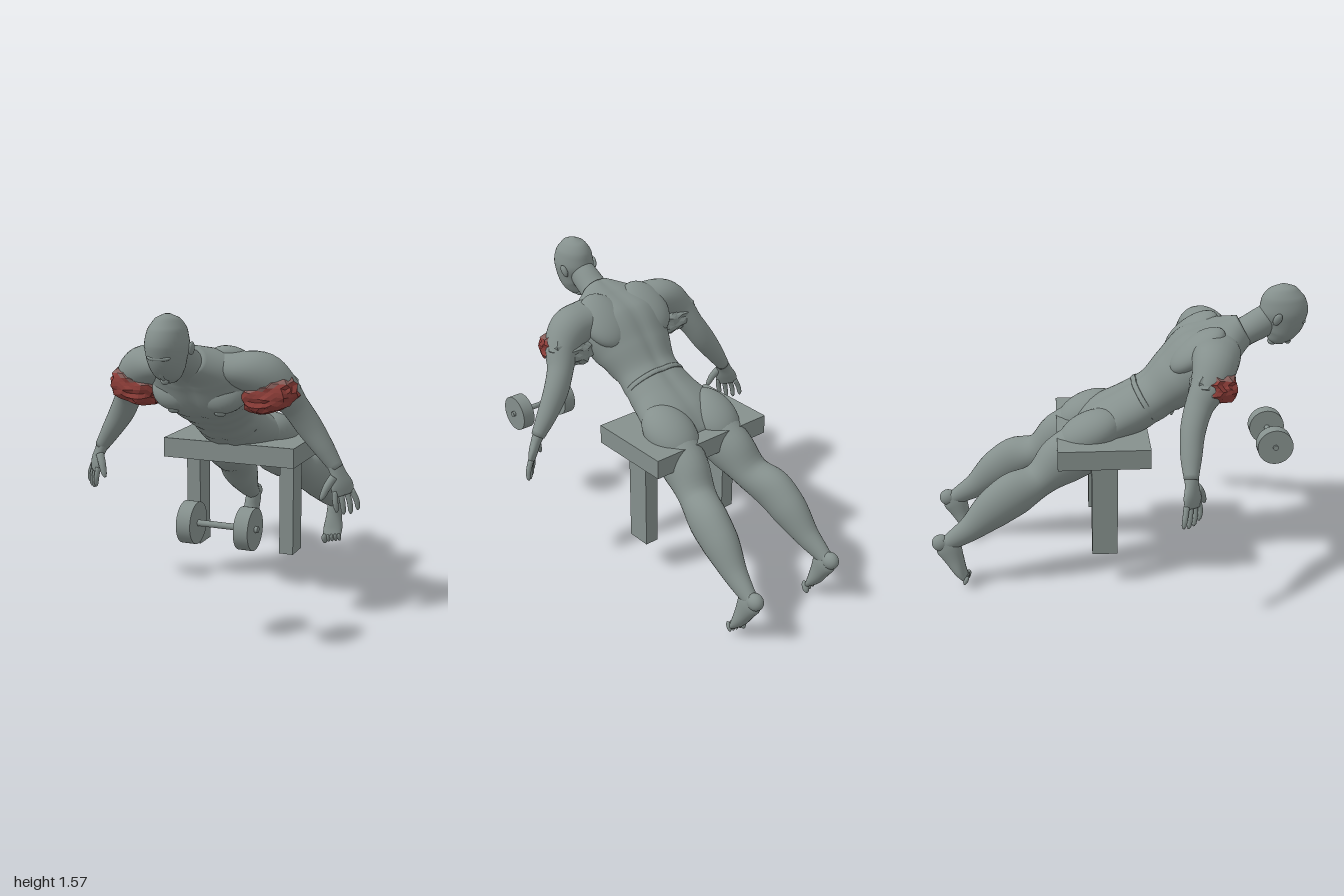
import * as THREE from 'three';

const mat = (name, color) => Object.assign(new THREE.MeshStandardMaterial({ color }), { name });
const V = (x, y, z) => new THREE.Vector3(x, y, z);

export function createModel() {
  const root = new THREE.Group();
  const grey = mat('stoneGrey', 0x85908d);
  const red = mat('muscleRed', 0x8c3d38);
  const blend = mat('fadedRed', 0x87605c);

  const add = (name, geo, material = grey) => {
    const m = new THREE.Mesh(geo, material);
    m.name = name;
    root.add(m);
    return m;
  };
  const box = (name, w, h, d, x, y, z) => add(name, new THREE.BoxGeometry(w, h, d)).position.set(x, y, z);
  const blob = (name, p, r, rx = 0, rz = 0) => {
    const m = add(name, new THREE.SphereGeometry(1, 32, 20));
    m.position.set(...p);
    m.scale.set(...r);
    m.rotation.set(rx, 0, rz);
  };

  // Smooth closed tube through sections [x, y, z, halfWidth, halfDepth]; side = width direction
  function loft(secs, side = V(1, 0, 0), shape = () => 1, n = 28, per = 5) {
    const path = new THREE.CatmullRomCurve3(secs.map(s => V(s[0], s[1], s[2])));
    const size = new THREE.CatmullRomCurve3(secs.map(s => V(s[3], s[4], 0)));
    const rings = (secs.length - 1) * per, pos = [], idx = [];
    for (let i = 0; i <= rings; i++) {
      const t = i / rings, c = path.getPoint(t), r = size.getPoint(t), T = path.getTangent(t);
      const S = side.clone().addScaledVector(T, -side.dot(T)).normalize();
      const D = T.clone().cross(S);
      for (let j = 0; j < n; j++) {
        const a = j / n * Math.PI * 2, k = shape(a, t);
        const p = c.clone().addScaledVector(S, Math.cos(a) * r.x * k).addScaledVector(D, Math.sin(a) * r.y * k);
        pos.push(p.x, p.y, p.z);
        if (i < rings) {
          const A = i * n + j, B = i * n + (j + 1) % n;
          idx.push(A, B, A + n, B, B + n, A + n);
        }
      }
    }
    const e0 = pos.length / 3, last = rings * n;
    pos.push(...secs[0].slice(0, 3), ...secs[secs.length - 1].slice(0, 3));
    for (let j = 0; j < n; j++) {
      const k = (j + 1) % n;
      idx.push(e0, k, j, e0 + 1, last + j, last + k);
    }
    const g = new THREE.BufferGeometry();
    g.setAttribute('position', new THREE.Float32BufferAttribute(pos, 3));
    g.setIndex(idx);
    g.computeVertexNormals();
    return g;
  }

  // Bench
  box('benchTop', 0.74, 0.105, 0.48, 0, 0.767, -0.08);
  for (const s of [-1, 1]) box('benchLeg', 0.078, 0.53, 0.135, s * 0.272, 0.455, -0.077);

  // Dumbbell
  const rod = (name, r, x0, x1) => {
    const m = add(name, new THREE.CylinderGeometry(r, r, x1 - x0, 40));
    m.rotation.z = Math.PI / 2;
    m.position.set((x0 + x1) / 2, 0.605, 0.895);
  };
  rod('dumbbellWeight', 0.1, 0.09, 0.16);
  rod('dumbbellWeight', 0.1, 0.375, 0.445);
  rod('dumbbellBar', 0.015, 0.08, 0.46);

  // Torso with a groove along the spine and faint abdominal ridges in front
  const torsoShape = (a, t) => {
    const mid = Math.exp(-((Math.cos(a) / 0.16) ** 2));
    const ridge = Math.sin(a) > 0.3 && t > 0.3 && t < 0.6 ? 0.015 * Math.sin(t * 75) : 0;
    return 1 - 0.07 * mid + ridge;
  };
  add('torso', loft([
    [0, 1.335, 0.67, 0.09, 0.08], [0, 1.28, 0.57, 0.23, 0.12], [0, 1.19, 0.45, 0.275, 0.178],
    [0, 1.09, 0.33, 0.225, 0.158], [0, 0.99, 0.21, 0.18, 0.13], [0, 0.91, 0.08, 0.2, 0.13],
    [0, 0.84, -0.08, 0.24, 0.11], [0, 0.77, -0.18, 0.2, 0.08], [0, 0.73, -0.24, 0.12, 0.03],
  ], V(1, 0, 0), torsoShape, 64, 10));
  // Thin band round the waist
  add('waistband', loft([
    [0, 0.968, 0.172, 0.182, 0.13], [0, 0.96, 0.16, 0.186, 0.134], [0, 0.952, 0.148, 0.186, 0.13],
  ], V(1, 0, 0), torsoShape, 64, 4));

  // Neck and head, the head built from level sections, crown to chin
  add('neck', loft([[0, 1.27, 0.56, 0.15, 0.1], [0, 1.325, 0.68, 0.082, 0.075],
    [0, 1.37, 0.76, 0.074, 0.08], [0, 1.42, 0.84, 0.065, 0.075]]));
  add('head', loft([
    [0, 1.576, 0.865, 0.012, 0.015], [0, 1.555, 0.866, 0.055, 0.07], [0, 1.505, 0.867, 0.088, 0.112],
    [0, 1.435, 0.873, 0.1, 0.128], [0, 1.375, 0.873, 0.092, 0.112], [0, 1.32, 0.86, 0.078, 0.086],
    [0, 1.28, 0.848, 0.055, 0.055], [0, 1.258, 0.845, 0.03, 0.035],
  ], V(1, 0, 0), undefined, 36));
  blob('brow', [0, 1.385, 0.965], [0.06, 0.016, 0.026], 0.3);
  blob('nose', [0, 1.31, 0.93], [0.016, 0.05, 0.02], 0.55);
  blob('noseTip', [0, 1.268, 0.903], [0.02, 0.018, 0.018]);
  blob('lips', [0, 1.268, 0.872], [0.027, 0.012, 0.018]);
  blob('chin', [0, 1.268, 0.822], [0.03, 0.02, 0.025]);

  // Ragged shell round the upper arm, red in front and grey behind
  function armShell(s) {
    const g = new THREE.IcosahedronGeometry(1, 4), p = g.attributes.position;
    const sets = [[], [], []], M = new THREE.Matrix4().makeRotationZ(0.28);
    const ragged = v => {
      const h = Math.sin(Math.round(v.x * 50) * 12.99 + Math.round(v.y * 50) * 78.23 + Math.round(v.z * 50) * 37.72) * 43758.5;
      const boxy = Math.cbrt(Math.abs(v.x) ** 3 + Math.abs(v.y) ** 3 + Math.abs(v.z) ** 3);
      return (0.9 + 0.17 * (h - Math.floor(h))) / boxy;
    };
    for (let f = 0; f < p.count; f += 3) {
      const tri = [0, 1, 2].map(k => V(0, 0, 0).fromBufferAttribute(p, f + k));
      const c = tri[0].clone().add(tri[1]).add(tri[2]).divideScalar(3);
      const set = c.z < -0.2 || c.y > 0.7 ? 0 : c.y > 0.38 ? 2 : 1;
      const out = tri.map(v => {
        const k = ragged(v);
        return V(v.x * 0.138 * k, v.y * 0.083 * k, v.z * 0.118 * k).applyMatrix4(M).add(V(0.36, 1.158, 0.465));
      });
      if (s < 0) out.reverse();
      out.forEach(v => sets[set].push(v.x * s, v.y, v.z));
    }
    sets.forEach((arr, i) => {
      const q = new THREE.BufferGeometry();
      q.setAttribute('position', new THREE.Float32BufferAttribute(arr, 3));
      q.computeVertexNormals();
      add(['upperArmShell', 'redMuscle', 'fadedMuscle'][i], q, [grey, red, blend][i]);
    });
  }

  for (const s of [-1, 1]) {
    const mx = secs => secs.map(([x, ...r]) => [x * s, ...r]);

    // Ear, chest, back and buttock masses
    blob('ear', [s * 0.1, 1.415, 0.825], [0.014, 0.035, 0.022], 0.4, -s * 0.2);
    blob('pectoral', [s * 0.122, 1.17, 0.5], [0.135, 0.125, 0.088], -0.6);
    blob('nipple', [s * 0.125, 1.06, 0.55], [0.03, 0.016, 0.022], -0.5);
    blob('shoulderBlade', [s * 0.14, 1.27, 0.41], [0.13, 0.075, 0.17], -0.65);
    blob('buttock', [s * 0.143, 0.825, -0.145], [0.135, 0.112, 0.185], -0.45);

    // Arm
    add('arm', loft(mx([
      [0.06, 1.3, 0.52, 0.09, 0.07], [0.2, 1.275, 0.5, 0.125, 0.09], [0.32, 1.25, 0.475, 0.115, 0.11],
      [0.4, 1.18, 0.44, 0.095, 0.092], [0.455, 1.09, 0.385, 0.072, 0.068], [0.515, 0.99, 0.35, 0.064, 0.066],
      [0.59, 0.88, 0.335, 0.054, 0.052], [0.655, 0.785, 0.33, 0.036, 0.036],
    ]), V(0, 0, 1)));
    armShell(s);

    // Hand
    const across = V(s * 0.7, 0, -0.7);
    add('palm', loft(mx([[0.63, 0.825, 0.331, 0.036, 0.036], [0.664, 0.76, 0.333, 0.042, 0.028],
      [0.685, 0.7, 0.335, 0.062, 0.024], [0.697, 0.655, 0.335, 0.056, 0.017]]), across));
    for (const u of [-1.5, -0.5, 0.5, 1.5]) {
      const o = 0.022 * u, e = 0.028 * u, drop = Math.abs(u) > 1 ? 0.015 : 0;
      add('finger', loft(mx([
        [0.692 + o, 0.675, 0.335 - o, 0.015, 0.015], [0.708 + e, 0.62, 0.335 - e, 0.014, 0.014],
        [0.713 + e, 0.572 + drop, 0.33 - e, 0.012, 0.012], [0.713 + e, 0.556 + drop, 0.328 - e, 0.005, 0.005],
      ]), across, undefined, 12, 4));
    }
    add('thumb', loft(mx([[0.65, 0.745, 0.36, 0.022, 0.022], [0.625, 0.7, 0.385, 0.02, 0.02],
      [0.607, 0.655, 0.4, 0.015, 0.015], [0.598, 0.635, 0.405, 0.007, 0.007]]), across, undefined, 12, 4));

    // Leg
    add('leg', loft(mx([
      [0.12, 0.82, -0.05, 0.1, 0.09], [0.142, 0.745, -0.18, 0.128, 0.143], [0.16, 0.675, -0.3, 0.116, 0.135],
      [0.19, 0.58, -0.425, 0.1, 0.092], [0.228, 0.522, -0.55, 0.098, 0.118], [0.242, 0.446, -0.66, 0.09, 0.108],
      [0.256, 0.34, -0.785, 0.062, 0.07], [0.265, 0.285, -0.87, 0.045, 0.052], [0.268, 0.255, -0.92, 0.036, 0.04],
    ])));

    // Foot
    blob('heel', [s * 0.268, 0.262, -0.948], [0.04, 0.046, 0.048]);
    add('foot', loft(mx([
      [0.268, 0.285, -0.942, 0.03, 0.035], [0.268, 0.235, -0.91, 0.043, 0.068], [0.27, 0.17, -0.883, 0.048, 0.053],
      [0.272, 0.1, -0.855, 0.058, 0.036], [0.272, 0.06, -0.832, 0.055, 0.022], [0.272, 0.045, -0.826, 0.045, 0.012],
    ])));
    for (let i = 0; i < 5; i++) {
      const r = i ? 0.012 : 0.018;
      blob('toe', [s * (0.23 + i * 0.023), 0.038 + i * 0.005, -0.822], [r, i ? 0.028 : 0.035, r], 0.45);
    }
  }
  return root;
}
